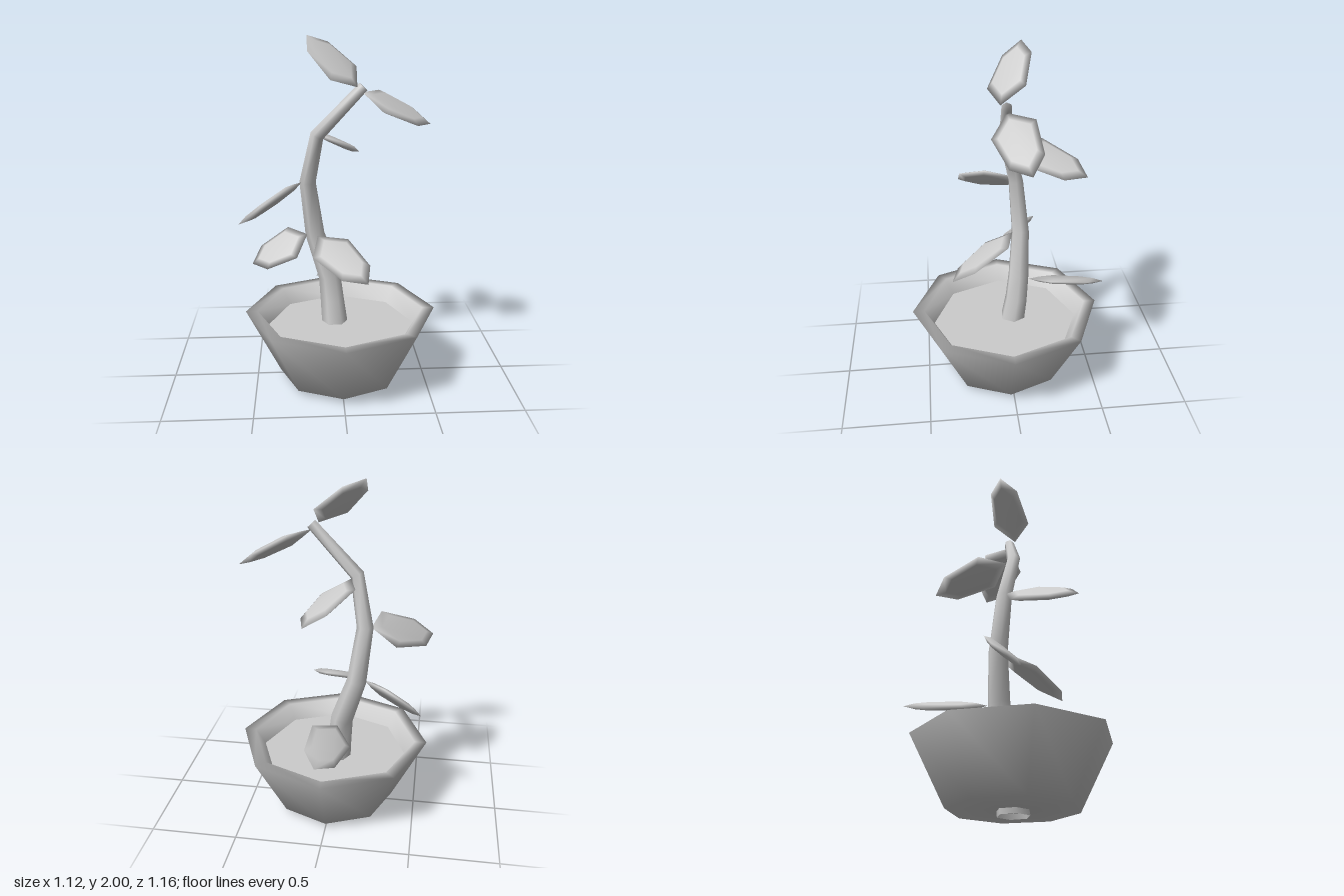
import * as THREE from 'three';

const material = new THREE.MeshStandardMaterial({ color: 0xcccccc, side: THREE.DoubleSide });
const V = (a) => new THREE.Vector3(...a);

function add(group, geometry, name) {
  const mesh = new THREE.Mesh(geometry, material);
  mesh.name = name;
  group.add(mesh);
  return mesh;
}

// Skins a list of equal-sized rings (counter-clockwise seen from the last ring)
function loft(rings, capStart, capEnd) {
  const n = rings[0].length;
  const index = [];
  for (let r = 0; r < rings.length - 1; r++) {
    for (let i = 0; i < n; i++) {
      const a = r * n + i, b = r * n + (i + 1) % n;
      index.push(a, b, b + n, a, b + n, a + n);
    }
  }
  const last = (rings.length - 1) * n;
  for (let i = 1; i < n - 1; i++) {
    if (capStart) index.push(0, i + 1, i);
    if (capEnd) index.push(last, last + i, last + i + 1);
  }
  const geometry = new THREE.BufferGeometry().setFromPoints(rings.flat());
  geometry.setIndex(index);
  geometry.computeVertexNormals();
  return geometry;
}

// Six-sided stem that bends and tapers along a path of [x, y, z, radius]
function stemGeometry(path) {
  const points = path.map((p) => V(p.slice(0, 3)));
  const up = new THREE.Vector3(0, 1, 0);
  const rings = points.map((p, k) => {
    const before = points[Math.max(k - 1, 0)];
    const after = points[Math.min(k + 1, points.length - 1)];
    const tangent = k === 0 ? up : after.clone().sub(before).normalize();
    const turn = new THREE.Quaternion().setFromUnitVectors(up, tangent);
    return Array.from({ length: 6 }, (_, i) => {
      const a = -i * Math.PI / 3;
      return new THREE.Vector3(Math.cos(a), 0, Math.sin(a))
        .multiplyScalar(path[k][3]).applyQuaternion(turn).add(p);
    });
  });
  return loft(rings, false, true);
}

// Thin hexagonal leaf: local x runs base to tip, y is its thickness, z its width
function leafGeometry(length) {
  const outline = [[0, 0], [0.27, 0.125], [0.78, 0.095], [1, 0], [0.78, -0.095], [0.27, -0.125]];
  const ring = (scale, y) => outline.map(([t, w]) =>
    new THREE.Vector3((0.5 + (t - 0.5) * scale) * length, y, w * scale));
  return loft([ring(0.72, -0.016), ring(1, 0), ring(0.72, 0.016)], true, true);
}

function addLeaf(group, name, base, tip, side) {
  const start = V(base);
  const along = V(tip).sub(start);
  const mesh = add(group, leafGeometry(along.length()), name);
  along.normalize();
  const normal = V(side).cross(along).normalize();
  const across = along.clone().cross(normal);
  mesh.quaternion.setFromRotationMatrix(new THREE.Matrix4().makeBasis(along, normal, across));
  mesh.position.copy(start);
}

export function createModel() {
  const model = new THREE.Group();
  model.name = 'pottedPlant';

  // Octagonal pot with a thick rim
  const profile = [[0, 0.03], [0.36, 0.03], [0.56, 0.418], [0.49, 0.418], [0.43, 0.32]];
  const pot = new THREE.LatheGeometry(profile.map(([x, y]) => new THREE.Vector2(x, y)), 8);
  add(model, pot, 'pot').position.z = 0.02;

  const soil = add(model, new THREE.CircleGeometry(0.435, 8), 'soil');
  soil.rotation.x = -Math.PI / 2;
  soil.position.set(0, 0.325, 0.02);

  // Winding stem, open where it pokes out below the pot
  add(model, stemGeometry([
    [0, 0, 0.02, 0.092],
    [-0.045, 0.45, -0.055, 0.07],
    [-0.06, 0.6, -0.07, 0.065],
    [-0.145, 0.86, -0.09, 0.056],
    [-0.185, 1.18, -0.065, 0.047],
    [-0.13, 1.46, 0, 0.04],
    [0.125, 1.73, 0.02, 0.03],
  ]), 'stem');

  // Leaves: base, tip and the direction across the blade
  const leaves = new THREE.Group();
  leaves.name = 'leaves';
  model.add(leaves);
  addLeaf(leaves, 'topLeaf', [0.09, 1.73, 0.05], [-0.18, 2, -0.09], [0.18, 0.02, -0.16]);
  addLeaf(leaves, 'upperLeftLeaf', [0.12, 1.7, 0.02], [0.515, 1.51, -0.065], [0, 0.1, -0.24]);
  addLeaf(leaves, 'upperBackLeaf', [-0.1, 1.45, -0.04], [0.1, 1.305, -0.43], [0.2, -0.08, 0.11]);
  addLeaf(leaves, 'middleRightLeaf', [-0.22, 1.18, -0.06], [-0.56, 1.03, 0.26], [0.12, 0.16, 0.18]);
  addLeaf(leaves, 'lowerRightLeaf', [-0.19, 0.86, -0.08], [-0.52, 0.67, -0.11], [-0.08, 0.1, -0.2]);
  addLeaf(leaves, 'lowerFrontLeaf', [-0.13, 0.86, -0.04], [0.135, 0.7, 0.335], [0.19, 0.06, -0.1]);
  addLeaf(leaves, 'lowestBackLeaf', [-0.04, 0.58, -0.13], [0.02, 0.57, -0.58], [0.23, 0.11, 0.03]);

  return model;
}
